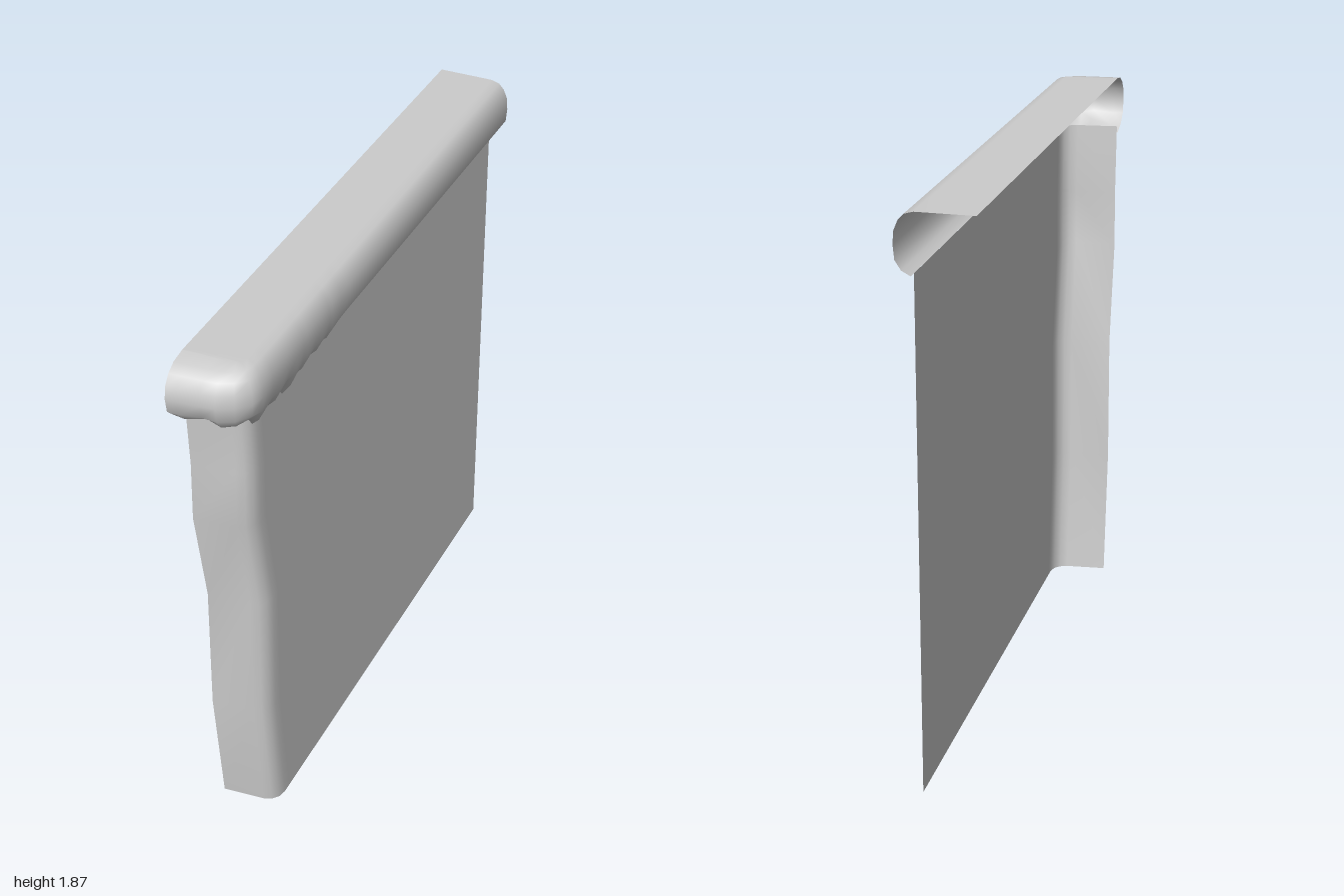
import * as THREE from 'three';

const material = new THREE.MeshStandardMaterial({ color: 0xcccccc, side: THREE.DoubleSide });

// Smooth sheet through columns of points: columns follow the path, points run upward.
function sheet(name, columns) {
  const n = columns[0].length;
  const index = [];
  for (let i = 0; i < columns.length - 1; i++) {
    for (let j = 0; j < n - 1; j++) {
      const a = i * n + j, c = a + n;
      index.push(a, a + 1, c, a + 1, c + 1, c);
    }
  }
  const geometry = new THREE.BufferGeometry();
  geometry.setAttribute('position', new THREE.Float32BufferAttribute(columns.flat(2), 3));
  geometry.setIndex(index);
  geometry.computeVertexNormals();
  const mesh = new THREE.Mesh(geometry, material);
  mesh.name = name;
  return mesh;
}

// Wall: a flat side whose uneven front edge turns a soft corner into a narrow return.
function createWall() {
  const levels = [[0, 0.77], [0.45, 0.82], [0.9, 0.815], [1.25, 0.88], [1.45, 0.875], [1.69, 0.89]]; // y, front z
  const corner = [[0.065, -0.11], [0.065, -0.075], [0.058, -0.045], [0.04, -0.025], [0.015, -0.015], [-0.125, 0]]; // x, z offset
  const columns = [-0.985, -0.4, 0.2, 0.55].map((z) => levels.map(([y]) => [0.065, Math.min(y, 1.68), z]));
  for (const [x, dz] of corner) columns.push(levels.map(([y, front]) => [x, y, front + dz]));
  return sheet('wall', columns);
}

// Cap: flat on top, rolled over the side and front, with a jagged hanging lip.
function createCap() {
  // Straight run: z and lip height
  const run = [
    [-1, 1.675], [-0.4, 1.675], [0.1, 1.675], [0.3, 1.675], [0.35, 1.67], [0.41, 1.65], [0.435, 1.68],
    [0.48, 1.645], [0.53, 1.68], [0.58, 1.64], [0.61, 1.67], [0.655, 1.62], [0.71, 1.69], [0.755, 1.64],
  ];
  // Corner and front: inner x, inner z, outer x, outer z, lip height
  const turn = [
    [0.07, 0.8, 0.122, 0.81, 1.68], [0.07, 0.85, 0.122, 0.87, 1.64], [0.065, 0.88, 0.112, 0.92, 1.69],
    [0.045, 0.89, 0.075, 0.96, 1.66], [0.02, 0.9, 0.025, 0.983, 1.65], [-0.02, 0.9, -0.02, 0.99, 1.685],
    [-0.09, 0.905, -0.09, 0.997, 1.655], [-0.125, 0.905, -0.125, 1, 1.665],
  ];
  // Roll profile: outward fraction, height, share of the jagged lip
  const profile = [
    [0, 1.675, 1], [0.55, 1.69, 0.55], [0.92, 1.72, 0.2], [1, 1.765, 0],
    [0.95, 1.805, 0], [0.7, 1.837, 0], [0.35, 1.857, 0], [-0.2, 1.865, 0],
  ];
  const stations = [...run.map(([z, lip]) => [0.07, z, 0.122, z, lip]), ...turn];
  const columns = stations.map(([ix, iz, ox, oz, lip]) => {
    const column = profile.map(([s, y, jag]) => [
      Math.max(-0.125, ix + (ox - ix) * s), y + (lip - 1.675) * jag, iz + (oz - iz) * s,
    ]);
    const top = column[column.length - 1];
    column.push([-0.125, 1.865, top[2]]);
    return column;
  });
  return sheet('cap', columns);
}

export function createModel() {
  const group = new THREE.Group();
  group.name = 'cappedWall';
  group.add(createWall(), createCap());
  return group;
}
